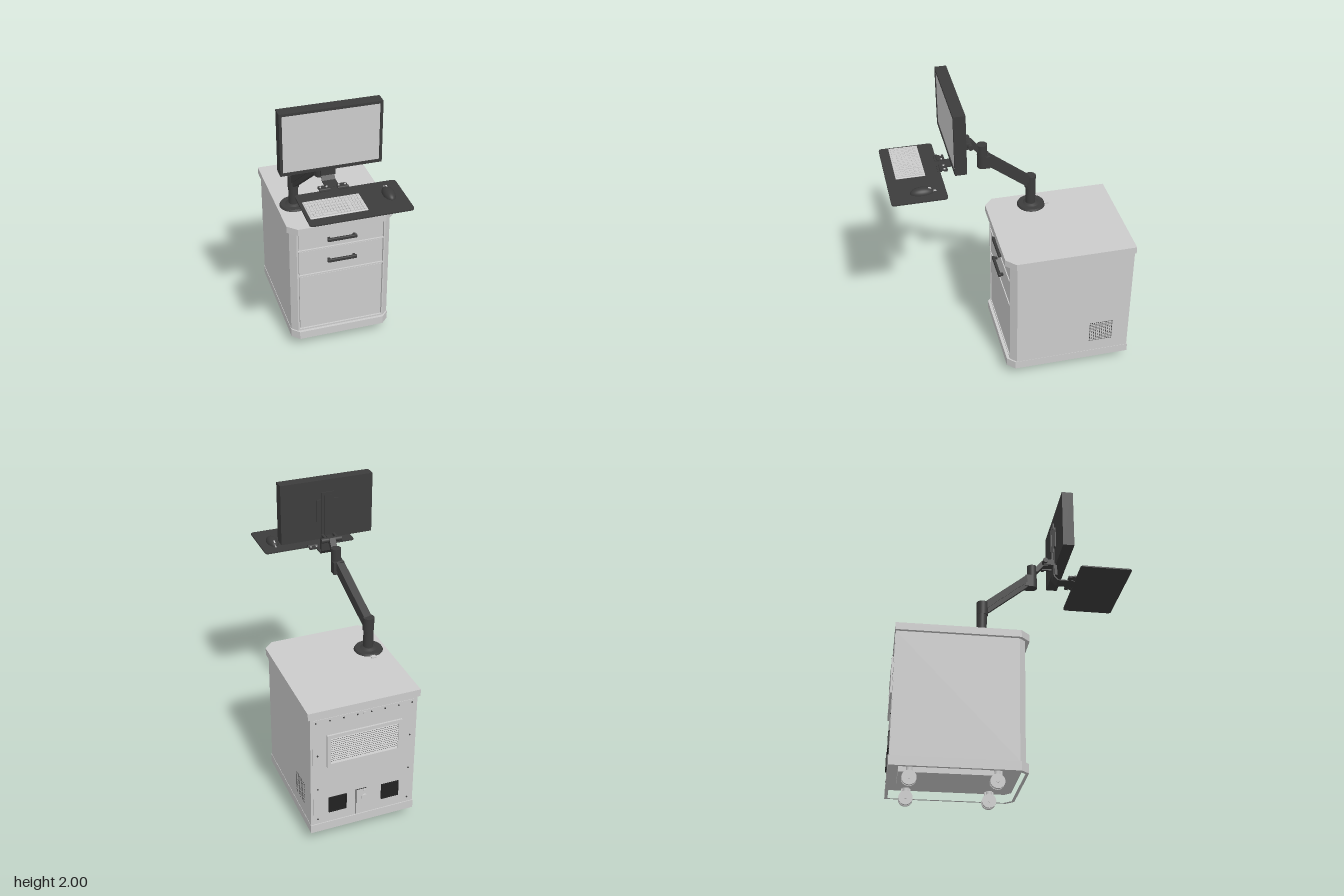
import * as THREE from 'three';
import { mergeGeometries } from 'three/addons/utils/BufferGeometryUtils.js';
import { RoundedBoxGeometry } from 'three/addons/geometries/RoundedBoxGeometry.js';

const grey = new THREE.MeshStandardMaterial({ color: 0xcccccc });
const dark = new THREE.MeshStandardMaterial({ color: 0x3c3c3c });
const black = new THREE.MeshStandardMaterial({ color: 0x222222 });

const shapeOf = pts => new THREE.Shape(pts.map(p => new THREE.Vector2(p[0], p[1])));
const rect = (x0, x1, y0, y1) => [[x0, y0], [x1, y0], [x1, y1], [x0, y1]];

// Box given by its limits on each axis
function boxGeo(x0, x1, y0, y1, z0, z1) {
  return new THREE.BoxGeometry(x1 - x0, y1 - y0, z1 - z0)
    .translate((x0 + x1) / 2, (y0 + y1) / 2, (z0 + z1) / 2);
}

// Plan outline in (x, z), raised from y0 to y1
function planGeo(pts, y0, y1, hole) {
  const flip = a => a.map(([x, z]) => [x, -z]);
  const s = shapeOf(flip(pts));
  if (hole) s.holes.push(shapeOf(flip(hole)));
  return new THREE.ExtrudeGeometry(s, { depth: y1 - y0, bevelEnabled: false })
    .rotateX(-Math.PI / 2).translate(0, y0, 0);
}

// Side profile in (z, y), given a width along x around cx
function sideGeo(pts, cx, w) {
  return new THREE.ExtrudeGeometry(shapeOf(pts), { depth: w, bevelEnabled: false })
    .rotateY(-Math.PI / 2).translate(cx + w / 2, 0, 0);
}

// Frame in the xy plane
function frameGeo(outer, inner, z0, z1) {
  const s = shapeOf(rect(...outer));
  s.holes.push(shapeOf(rect(...inner)));
  return new THREE.ExtrudeGeometry(s, { depth: z1 - z0, bevelEnabled: false }).translate(0, 0, z0);
}

const cylY = (r0, r1, x, y0, y1, z, n = 32) =>
  new THREE.CylinderGeometry(r1, r0, y1 - y0, n).translate(x, (y0 + y1) / 2, z);
const cylX = (r, x0, x1, y, z, n = 28) =>
  new THREE.CylinderGeometry(r, r, x1 - x0, n).rotateZ(Math.PI / 2).translate((x0 + x1) / 2, y, z);
const cylZ = (r, x, y, z0, z1, n = 20) =>
  new THREE.CylinderGeometry(r, r, z1 - z0, n).rotateX(Math.PI / 2).translate(x, y, (z0 + z1) / 2);

// Outline with cut front corners
const cutPlan = (x0, x1, z0, z1, cx, cz) =>
  [[x0, z0], [x1, z0], [x1, z1 - cz], [x1 - cx, z1], [x0 + cx, z1], [x0, z1 - cz]];

export function createModel() {
  const model = new THREE.Group();
  function group(name) {
    const g = new THREE.Group();
    g.name = name;
    model.add(g);
    return g;
  }
  function add(parent, name, geo, mat = grey) {
    const m = new THREE.Mesh(geo, mat);
    m.name = name;
    parent.add(m);
    return m;
  }

  // Cabinet shell, with a shallow recess for the drawers
  const cab = group('cabinet');
  add(cab, 'body', planGeo([[-0.297, -0.76], [0.405, -0.76], [0.405, 0.02], [0.362, 0.06], [0.352, 0.06],
    [0.352, 0.04], [-0.247, 0.04], [-0.247, 0.06], [-0.257, 0.06], [-0.297, 0.02]], 0.14, 0.955));
  add(cab, 'worktop', planGeo(cutPlan(-0.315, 0.42, -0.765, 0.09, 0.063, 0.06), 0.957, 1.005));
  add(cab, 'plinth', planGeo(cutPlan(-0.3, 0.407, -0.766, 0.08, 0.05, 0.05), 0.08, 0.14,
    cutPlan(-0.28, 0.387, -0.746, 0.06, 0.045, 0.045)));
  add(cab, 'underTray', boxGeo(-0.1, 0.22, 0.105, 0.14, -0.7, -0.06));

  // Drawer fronts, rails between them, and handles
  for (const [y0, y1] of [[0.815, 0.938], [0.613, 0.797], [0.158, 0.592]])
    add(cab, 'drawerFront', boxGeo(-0.241, 0.346, y0, y1, 0.03, 0.055));
  for (const [y0, y1] of [[0.943, 0.955], [0.802, 0.81], [0.598, 0.608], [0.14, 0.152]])
    add(cab, 'rail', boxGeo(-0.247, 0.352, y0, y1, 0.03, 0.06));
  for (const y of [0.877, 0.71]) {
    add(cab, 'handle', new RoundedBoxGeometry(0.205, 0.024, 0.018, 2, 0.005).translate(0.053, y, 0.081), dark);
    for (const x of [-0.035, 0.141])
      add(cab, 'handlePost', boxGeo(x - 0.008, x + 0.008, y - 0.008, y + 0.008, 0.05, 0.08), dark);
  }

  // Perforated vent on the left wall
  const dots = [];
  for (let i = 0; i < 12; i++) for (let j = 0; j < 12; j++)
    dots.push(new THREE.CircleGeometry(0.0042, 8).rotateY(Math.PI / 2)
      .translate(0.4058, 0.23 + j * 0.014, -0.642 + i * 0.014));
  add(cab, 'sideVent', mergeGeometries(dots), dark);

  // Back panel with louvred grille, fans, port and screws
  const back = group('backPanel');
  add(back, 'panel', boxGeo(-0.28, 0.39, 0.15, 0.945, -0.763, -0.755));
  add(back, 'grilleFrame', frameGeo([-0.195, 0.3, 0.58, 0.82], [-0.172, 0.277, 0.605, 0.795], -0.775, -0.76));
  add(back, 'grilleBacking', boxGeo(-0.172, 0.277, 0.605, 0.795, -0.7645, -0.76), dark);
  for (let i = 0; i < 13; i++)
    add(back, 'louvre', new THREE.BoxGeometry(0.449, 0.009, 0.004).rotateX(0.4)
      .translate(0.0525, 0.613 + i * 0.0145, -0.768));
  for (const x of [0.228, -0.13]) {
    add(back, 'fanFrame', frameGeo([x - 0.06, x + 0.06, 0.22, 0.335], [x - 0.054, x + 0.054, 0.226, 0.329], -0.772, -0.76), black);
    add(back, 'fanGuard', boxGeo(x - 0.055, x + 0.055, 0.225, 0.33, -0.768, -0.76), black);
  }
  add(back, 'port', cylZ(0.022, 0.045, 0.27, -0.772, -0.76));
  add(back, 'portPin', cylZ(0.008, 0.045, 0.325, -0.769, -0.76));
  add(back, 'seam', boxGeo(0.1, 0.104, 0.15, 0.34, -0.766, -0.76), dark);
  add(back, 'seam', boxGeo(0.03, 0.104, 0.34, 0.344, -0.766, -0.76), dark);
  add(back, 'lock', cylZ(0.013, 0.053, 0.925, -0.769, -0.76));
  for (let i = 0; i < 8; i++)
    add(back, 'screw', cylZ(0.005, -0.26 + i * 0.09, 0.925, -0.767, -0.76, 10), dark);
  for (const x of [-0.255, 0.36]) for (const y of [0.18, 0.42, 0.68])
    add(back, 'screw', cylZ(0.005, x, y, -0.767, -0.76, 10), dark);

  // Twin-wheel casters
  for (const x of [-0.16, 0.265]) for (const z of [-0.1, -0.635]) {
    const c = group('caster');
    for (const s of [-1, 1]) add(c, 'wheel', cylX(0.046, x + s * 0.016 - 0.01, x + s * 0.016 + 0.01, 0.046, z));
    add(c, 'axle', cylX(0.01, x - 0.029, x + 0.029, 0.046, z, 12));
    add(c, 'fork', boxGeo(x - 0.006, x + 0.006, 0.04, 0.11, z - 0.03, z + 0.03));
    add(c, 'stem', cylY(0.02, 0.02, x, 0.09, 0.135, z, 16));
    add(c, 'mountPlate', boxGeo(x - 0.04, x + 0.04, 0.132, 0.141, z - 0.04, z + 0.04));
  }

  // Arm: round foot, post, sloping beam, elbow and head
  const arm = group('monitorArm');
  add(arm, 'foot', cylY(0.095, 0.088, -0.2, 1.005, 1.018, -0.217, 40), dark);
  add(arm, 'footCollar', cylY(0.055, 0.036, -0.2, 1.018, 1.028, -0.217), dark);
  add(arm, 'cableGuide', boxGeo(-0.207, -0.175, 1.003, 1.012, -0.335, -0.3));
  add(arm, 'post', cylY(0.033, 0.033, -0.2, 1.02, 1.15, -0.213), dark);
  add(arm, 'shoulder', cylY(0.037, 0.037, -0.2, 1.15, 1.24, -0.21), dark);
  const a = new THREE.Vector3(-0.198, 1.197, -0.2), b = new THREE.Vector3(-0.116, 1.485, 0.115);
  const beam = (name, w, h, drop) => {
    const m = add(arm, name, new THREE.BoxGeometry(w, h, a.distanceTo(b)).translate(0, drop, 0), dark);
    m.position.copy(a).lerp(b, 0.5);
    m.lookAt(b);
  };
  beam('beamCover', 0.056, 0.042, 0.012);
  beam('beamUnderside', 0.042, 0.03, -0.022);
  add(arm, 'elbowHousing', boxGeo(-0.15, -0.078, 1.42, 1.505, 0.085, 0.135), dark);
  add(arm, 'elbowLower', cylY(0.036, 0.036, -0.113, 1.42, 1.51, 0.13), dark);
  add(arm, 'elbowUpper', cylY(0.033, 0.033, -0.11, 1.51, 1.588, 0.133), dark);
  add(arm, 'headLink', sideGeo([[0.13, 1.535], [0.17, 1.545], [0.21, 1.59], [0.275, 1.595],
    [0.275, 1.62], [0.2, 1.63], [0.16, 1.58], [0.13, 1.58]], -0.11, 0.042), dark);
  add(arm, 'tiltBar', cylX(0.017, -0.18, -0.04, 1.612, 0.217), dark);
  for (const x of [-0.148, -0.072])
    add(arm, 'tiltLug', boxGeo(x - 0.008, x + 0.008, 1.59, 1.63, 0.21, 0.278), dark);

  // Upright spine that carries the screen and bends into the tray support
  add(arm, 'spine', sideGeo([[0.276, 1.92], [0.276, 1.508], [0.305, 1.477], [0.43, 1.477],
    [0.43, 1.484], [0.309, 1.484], [0.284, 1.511], [0.284, 1.92]], -0.11, 0.085), dark);
  for (const x of [-0.13, -0.09])
    add(arm, 'spineRib', boxGeo(x - 0.004, x + 0.004, 1.62, 1.9, 0.27, 0.28), dark);
  add(arm, 'screenPlate', boxGeo(-0.185, -0.035, 1.72, 1.87, 0.28, 0.292), dark);
  add(arm, 'frontBlock', boxGeo(-0.157, -0.064, 1.515, 1.6, 0.283, 0.3), dark);

  // Screen
  const mon = group('monitor');
  add(mon, 'casing', boxGeo(-0.424, 0.207, 1.592, 2, 0.29, 0.355), dark);
  add(mon, 'bezel', frameGeo([-0.424, 0.207, 1.592, 2], [-0.407, 0.19, 1.611, 1.983], 0.35, 0.365), dark);
  add(mon, 'screen', boxGeo(-0.408, 0.191, 1.61, 1.984, 0.35, 0.36));

  // Tray with rounded corners and its hinges
  const tray = group('keyboardTray');
  const c = 0.02, t = [];
  for (const [x, z, q] of [[0.255, 0.745, 0], [-0.337, 0.745, 1], [-0.337, 0.44, 2], [0.255, 0.44, 3]])
    for (let k = 0; k <= 4; k++) {
      const ang = (q + k / 4) * Math.PI / 2;
      t.push([x + c * Math.cos(ang), z + c * Math.sin(ang)]);
    }
  add(tray, 'board', planGeo(t.reverse(), 1.476, 1.485), dark);
  for (const x of [-0.168, -0.052]) {
    add(tray, 'hingePlate', boxGeo(x - 0.032, x + 0.032, 1.484, 1.49, 0.37, 0.435), dark);
    add(tray, 'hingeBarrel', cylX(0.008, x - 0.034, x + 0.034, 1.488, 0.415, 16), dark);
    for (const s of [-1, 1]) add(tray, 'hingeScrew', cylY(0.006, 0.006, x + s * 0.02, 1.488, 1.495, 0.39, 12), grey);
  }
  add(tray, 'hingeBridge', boxGeo(-0.2, -0.02, 1.478, 1.486, 0.375, 0.395), dark);

  // Keyboard: six rows of keys in blocks, with a long bar in the lowest row
  const kb = group('keyboard');
  add(kb, 'keyboardBase', new RoundedBoxGeometry(0.35, 0.008, 0.186, 2, 0.004).translate(-0.163, 1.489, 0.611));
  const keys = [];
  for (let r = 0; r < 6; r++) for (let i = 0; i < 18; i++) {
    const bar = r === 5 && i === 4;
    if (r === 5 && i > 4 && i < 9) continue;
    const x = -0.331 + i * 0.0183 + (i > 13 ? 0.008 : 0), z = 0.528 + r * 0.0285;
    keys.push(boxGeo(x, x + (bar ? 0.088 : 0.0148), 1.49, 1.497, z, z + 0.023));
  }
  add(kb, 'keys', mergeGeometries(keys));

  // Mouse
  const mouse = group('mouse');
  add(mouse, 'mouseShell', new THREE.SphereGeometry(1, 32, 12, 0, Math.PI * 2, 0, Math.PI / 2)
    .scale(0.037, 0.036, 0.073).translate(0.182, 1.485, 0.568), dark);
  add(mouse, 'scrollWheel', cylX(0.012, 0.178, 0.187, 1.506, 0.522, 20));
  add(mouse, 'mouseTail', boxGeo(0.179, 0.186, 1.486, 1.493, 0.48, 0.505));
  return model;
}
